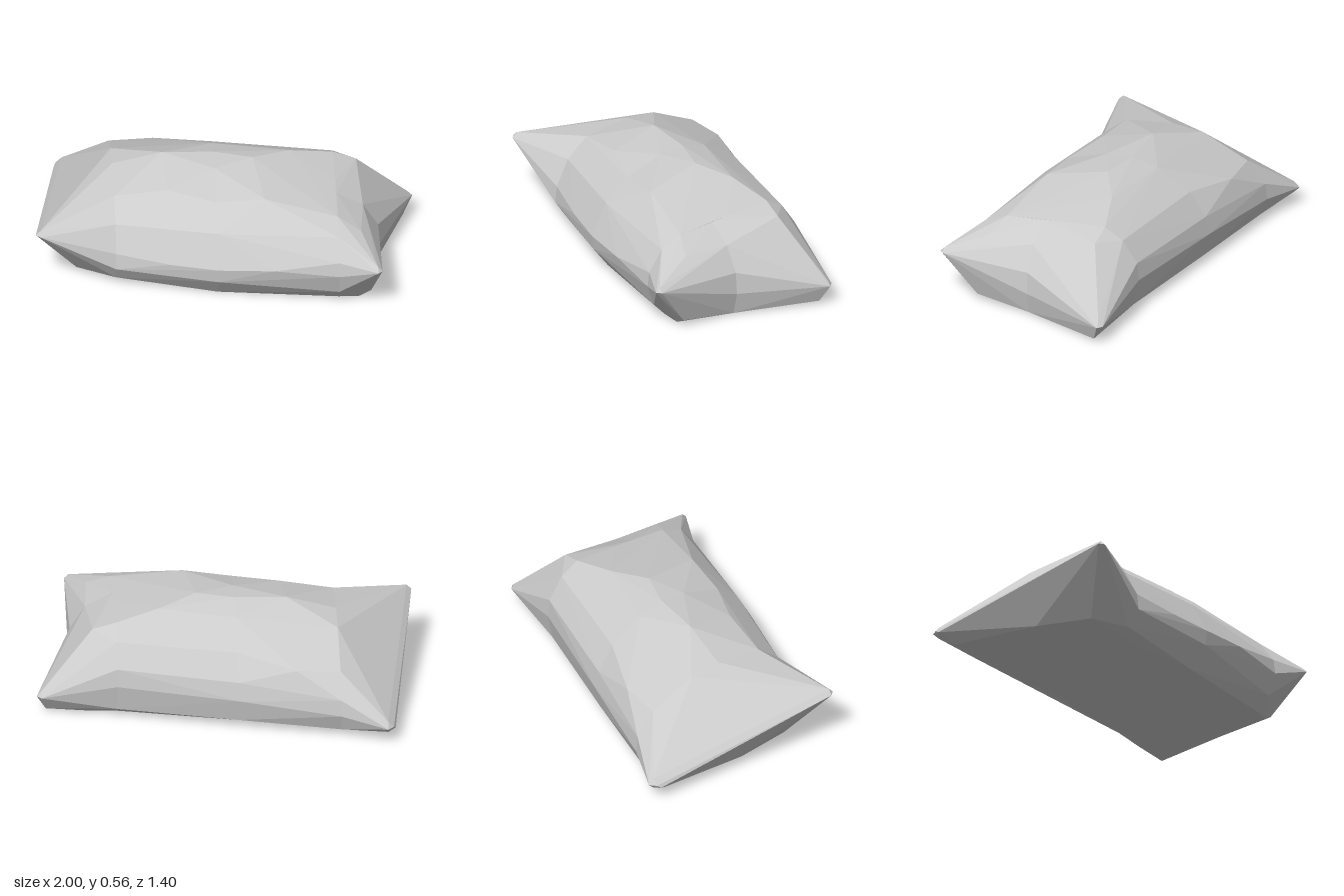
import * as THREE from 'three';
import { ConvexGeometry } from 'three/addons/geometries/ConvexGeometry.js';

const material = new THREE.MeshStandardMaterial({ color: 0xcccccc, flatShading: true });
const v = (x, y, z) => new THREE.Vector3(x, y, z);

// Cross-sections along the cushion, as [z, y] outlines at a fixed x
const section = (x, outline) => outline.map(([z, y]) => v(x, y, z));

const leftSeam = section(-0.58, [
  [-0.46, 0.025], [-0.57, 0.04], [-0.61, 0.14], [-0.6, 0.23], [-0.5, 0.35], [-0.25, 0.47], [-0.08, 0.49],
  [0.18, 0.46], [0.3, 0.36], [0.37, 0.22], [0.38, 0.13], [0.32, 0.04], [0.25, 0.02],
]);
const middleSeam = section(-0.05, [
  [-0.36, 0.005], [-0.46, 0.05], [-0.49, 0.18], [-0.47, 0.28], [-0.38, 0.41], [-0.2, 0.52], [-0.06, 0.56],
  [0.08, 0.55], [0.3, 0.48], [0.43, 0.37], [0.52, 0.2], [0.51, 0.12], [0.42, 0],
]);
const rightSeam = section(0.58, [
  [-0.25, 0.005], [-0.31, 0.05], [-0.34, 0.2], [-0.33, 0.3], [-0.25, 0.42], [-0.15, 0.48], [0.1, 0.465],
  [0.4, 0.44], [0.52, 0.39], [0.6, 0.28], [0.61, 0.2], [0.57, 0.08], [0.5, 0.005],
]);

// Notched seam on the right end, between the front and back corners
const notch = [[0.58, 0.455], [0.72, 0.38], [0.8, 0.25], [0.81, 0.13], [0.78, 0.005], [0.58, 0.005]]
  .map(([x, y]) => v(x, y, 0.2));

// Small blunt tip at a corner
const tip = (x, y, z, r) => [
  v(x - r, y, z), v(x + r, y, z), v(x, y - r, z), v(x, y + r, z), v(x, y, z - r), v(x, y, z + r),
];

export function createModel() {
  const group = new THREE.Group();
  const add = (name, points) => {
    const mesh = new THREE.Mesh(new ConvexGeometry(points), material);
    mesh.name = name;
    group.add(mesh);
  };

  add('leftEnd', [
    ...leftSeam,
    ...tip(-0.975, 0.34, 0.35, 0.025),
    ...tip(-0.82, 0.105, -0.67, 0.03),
    v(-0.86, 0.09, -0.65), v(-0.8, 0.03, -0.58),
    v(-0.82, 0.03, -0.1), v(-0.78, 0.03, 0.2),
  ]);

  add('leftBody', [
    ...leftSeam, ...middleSeam,
    v(-0.32, 0.56, -0.07), v(-0.35, 0.36, -0.5), v(-0.3, 0.5, 0.2),
    v(-0.45, 0.005, -0.35), v(-0.45, 0.005, 0.28), v(-0.3, 0.2, 0.455),
  ]);

  add('rightBody', [
    ...middleSeam, ...rightSeam,
    v(0.15, 0.56, 0), v(0.2, 0.51, 0.32), v(0.38, 0.46, 0.36), v(0.35, 0.53, -0.1),
    v(0.24, 0.22, 0.57), v(0.25, 0, 0.45),
  ]);

  add('backRightCorner', [
    ...rightSeam.filter((p) => p.z < 0.2), ...notch,
    ...tip(0.975, 0.115, -0.265, 0.025),
    v(0.7, 0.44, -0.14), v(0.98, 0.08, -0.25),
    v(0.95, 0.02, -0.23), v(0.9, 0.005, -0.2), v(0.72, 0.01, -0.25),
  ]);

  add('frontRightCorner', [
    ...rightSeam.filter((p) => p.z > 0.2), ...notch,
    ...tip(0.78, 0.275, 0.675, 0.022),
    v(0.69, 0.005, 0.5), v(0.7, 0.38, 0.45), v(0.75, 0.04, 0.5),
  ]);

  return group;
}
